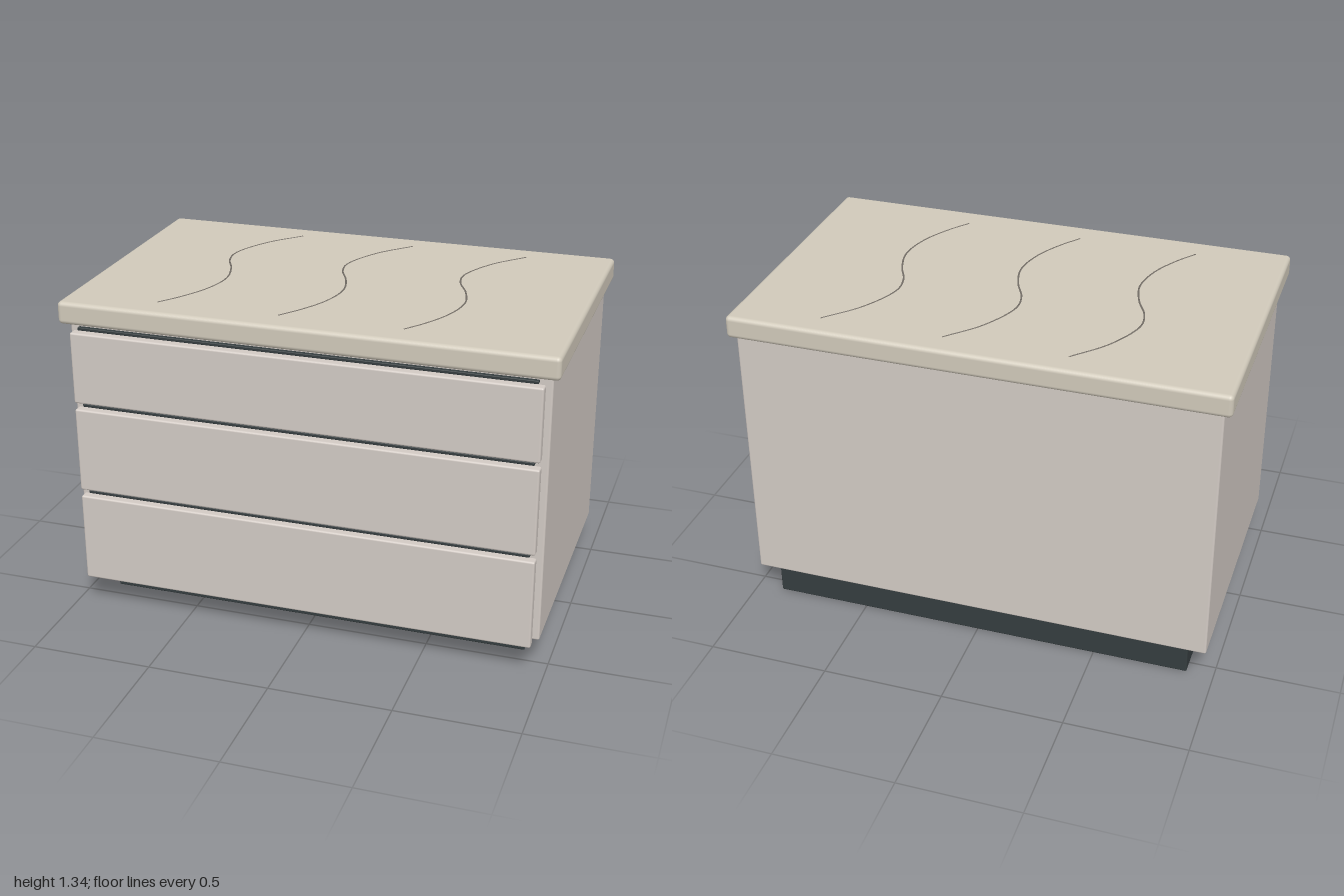
import * as THREE from 'three';
import { RoundedBoxGeometry } from 'three/addons/geometries/RoundedBoxGeometry.js';

const paint = (color) => new THREE.MeshStandardMaterial({ color });

export function createModel() {
  const model = new THREE.Group();
  const stone = paint(0xd0c9ba);
  const lacquer = paint(0xd2cac4);
  const dark = paint(0x353d3f);
  const wood = paint(0xb08a64);
  const veinGrey = paint(0x77716a);

  // Box given by its limits on each axis; a radius rounds the edges
  function block(parent, name, material, [x0, x1], [y0, y1], [z0, z1], radius = 0) {
    const size = [x1 - x0, y1 - y0, z1 - z0];
    const geometry = radius
      ? new RoundedBoxGeometry(...size, 3, radius)
      : new THREE.BoxGeometry(...size);
    const mesh = new THREE.Mesh(geometry, material);
    mesh.name = name;
    mesh.position.set((x0 + x1) / 2, (y0 + y1) / 2, (z0 + z1) / 2);
    parent.add(mesh);
  }

  // Recessed plinth, cabinet body and overhanging top
  block(model, 'plinth', dark, [-0.89, 0.89], [0, 0.14], [-0.56, 0.43], 0.006);
  block(model, 'cabinetBody', lacquer, [-0.968, 0.968], [0.133, 1.25], [-0.59, 0.555], 0.008);
  block(model, 'topSlab', stone, [-1, 1], [1.245, 1.338], [-0.615, 0.602], 0.018);

  // Drawers: front panel, wooden box and dark grip strip above the panel
  const drawers = [[0.128, 0.507, 0.475], [0.535, 0.893, 0.863], [0.92, 1.22, 1.193]];
  drawers.forEach(([bottom, top, boxTop], i) => {
    const drawer = new THREE.Group();
    drawer.name = `drawer${i + 1}`;
    block(drawer, 'drawerFront', lacquer, [-0.945, 0.945], [bottom, top], [0.574, 0.617], 0.008);
    block(drawer, 'gripStrip', dark, [-0.92, 0.92], [top + 0.004, top + 0.017], [0.573, 0.592], 0.003);
    block(drawer, 'boxBottom', wood, [-0.9, 0.9], [bottom, bottom + 0.035], [-0.08, 0.575]);
    block(drawer, 'boxFront', wood, [-0.87, 0.87], [bottom + 0.035, boxTop], [0.54, 0.575]);
    block(drawer, 'boxBack', wood, [-0.87, 0.87], [bottom + 0.035, boxTop], [-0.08, -0.05]);
    for (const s of [-1, 1]) {
      const xs = [s * 0.87, s * 0.9].sort((a, b) => a - b);
      block(drawer, 'boxSide', wood, xs, [bottom + 0.035, boxTop], [-0.08, 0.575]);
    }
    model.add(drawer);
  });

  // Three fine wavy veins lying in the top surface
  const wave = [[0.14, -0.51], [0.02, -0.37], [-0.055, -0.2], [-0.045, -0.1],
    [0, 0], [0.03, 0.13], [0.005, 0.27], [-0.06, 0.4], [-0.12, 0.485]];
  for (const offset of [-0.5, 0, 0.5]) {
    const path = new THREE.CatmullRomCurve3(
      wave.map(([x, z]) => new THREE.Vector3(x + offset, 1.3365, z)));
    const vein = new THREE.Mesh(new THREE.TubeGeometry(path, 64, 0.004, 6), veinGrey);
    vein.name = 'vein';
    model.add(vein);
  }
  return model;
}
